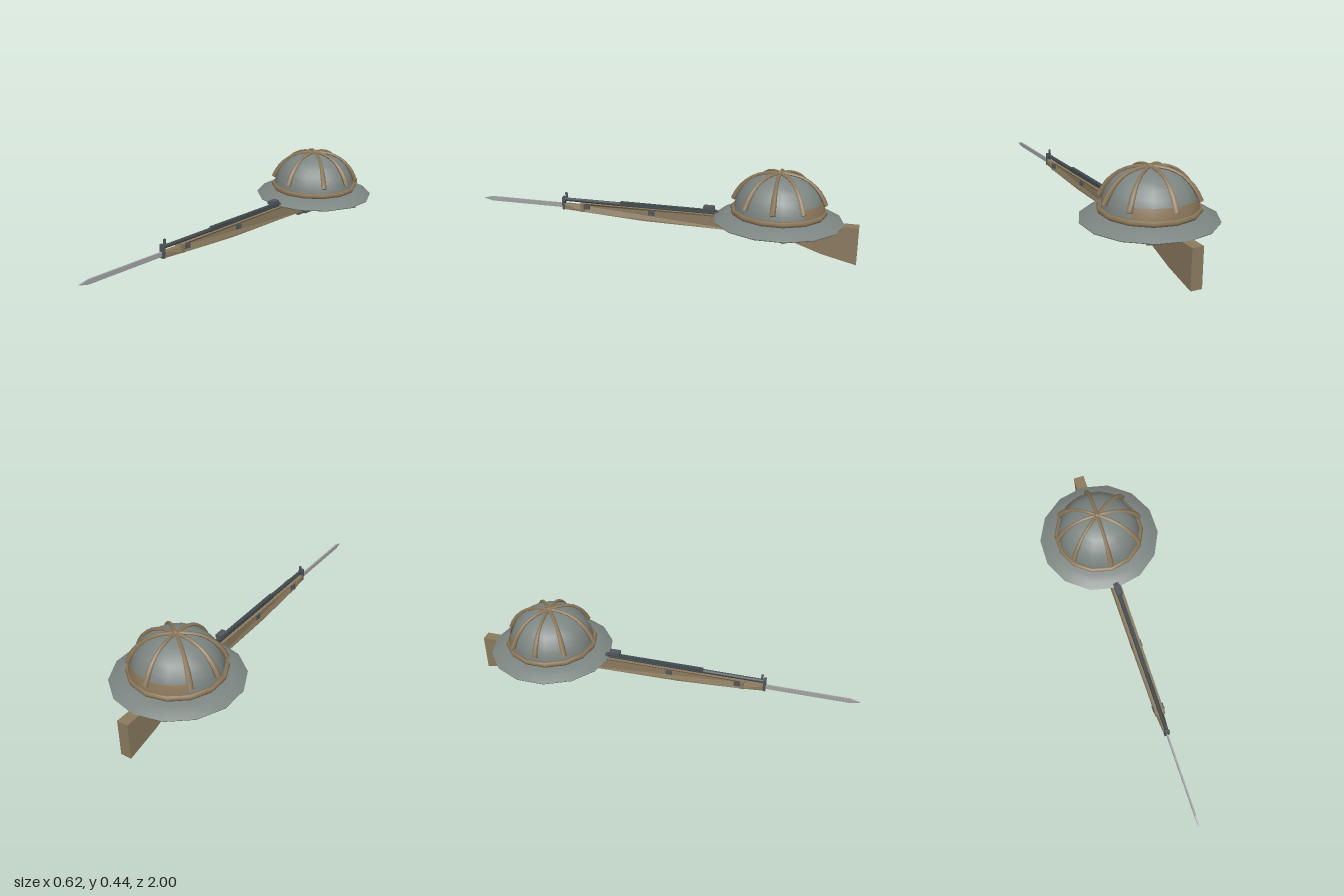
import * as THREE from 'three';

const material = (name, color, side = THREE.FrontSide) => {
  const m = new THREE.MeshStandardMaterial({ color, side });
  m.name = name;
  return m;
};

const SIDES = 14;
const DOME = [[0.222, 0.222], [0.218, 0.26], [0.209, 0.295], [0.193, 0.33], [0.168, 0.364], [0.132, 0.394], [0.085, 0.413], [0.04, 0.421], [0, 0.423]];

export function createModel() {
  const steel = material('helmet grey', 0x7c8581, THREE.DoubleSide);
  const leather = material('leather brown', 0x8a775a);
  const lining = material('lining brown', 0x8a775a, THREE.DoubleSide);
  const wood = material('stock wood', 0x8a7a5e);
  const metal = material('gun metal', 0x50565c);
  const barrelMetal = material('barrel steel', 0x414a4d);
  const bladeMetal = material('blade steel', 0xa2a3a4);

  const model = new THREE.Group();
  const helmet = new THREE.Group();
  helmet.name = 'helmet';
  helmet.position.z = -0.61;
  const rifle = new THREE.Group();
  rifle.name = 'rifle';
  model.add(helmet, rifle);

  const add = (parent, name, geometry, mat, x = 0, y = 0, z = 0) => {
    const mesh = new THREE.Mesh(geometry, mat);
    mesh.name = name;
    mesh.position.set(x, y, z);
    parent.add(mesh);
    return mesh;
  };
  const lathe = (points, ...arc) =>
    new THREE.LatheGeometry(points.map(([r, y]) => new THREE.Vector2(r, y)), SIDES, ...arc);
  const ring = (radius, tube) =>
    new THREE.TorusGeometry(radius, tube, 6, SIDES).rotateX(Math.PI / 2).rotateY(Math.PI / 2);

  // Helmet shell, brim and lining
  add(helmet, 'dome', lathe(DOME), steel);
  add(helmet, 'brimTop', lathe([[0.32, 0.19], [0.285, 0.209], [0.255, 0.219], [0.215, 0.227]]), steel);
  add(helmet, 'brimUnderside', lathe([[0.212, 0.212], [0.28, 0.196], [0.318, 0.186], [0.32, 0.19]]), steel);
  add(helmet, 'innerLining', lathe(DOME.map(([r, y]) => [r * 0.96, y - 0.01])), lining);
  add(helmet, 'backPanel', lathe([[0.225, 0.242], [0.222, 0.265], [0.213, 0.3], [0.211, 0.301]],
    Math.PI * 0.72, Math.PI * 0.56), lining);
  add(helmet, 'hatBand', ring(0.226, 0.013).scale(1, 1.1, 1), leather, 0, 0.239, 0);
  const sweatBand = add(helmet, 'sweatBand', ring(0.212, 0.013), leather, 0, 0.191, 0);
  sweatBand.rotation.z = 0.012;

  // Straps: capped rods bent down over the dome, thickest at the rim end
  const path = new THREE.CatmullRomCurve3(
    [[0, 0.425], [0.06, 0.423], [0.125, 0.402], [0.165, 0.372], [0.2, 0.33], [0.226, 0.279]]
      .map(([r, y]) => new THREE.Vector3(r, y, 0)));
  const strapGeometry = new THREE.CylinderGeometry(1, 1, 1, 6, 8);
  const pos = strapGeometry.attributes.position;
  for (let i = 0; i < pos.count; i++) {
    const t = THREE.MathUtils.clamp(0.5 - pos.getY(i), 0, 1);
    const p = path.getPointAt(t), d = path.getTangentAt(t);
    const size = 0.009 + 0.005 * THREE.MathUtils.smoothstep(t, 0.45, 0.85);
    const out = -pos.getX(i) * size, side = pos.getZ(i) * size;
    pos.setXYZ(i, p.x + d.y * out, p.y - d.x * out, side);
  }
  // Keep faces outward whichever way the bend turned the rod
  {
    const a = new THREE.Vector3(), b = new THREE.Vector3(), c = new THREE.Vector3();
    const index = strapGeometry.index;
    let volume = 0;
    for (let i = 0; i < index.count; i += 3) {
      a.fromBufferAttribute(pos, index.getX(i));
      b.fromBufferAttribute(pos, index.getX(i + 1));
      c.fromBufferAttribute(pos, index.getX(i + 2));
      volume += a.dot(b.cross(c));
    }
    if (volume < 0) index.array.reverse();
  }
  strapGeometry.computeVertexNormals();
  for (const degrees of [0, 38, 90, 142, 180, 218, 270, 322]) {
    add(helmet, 'strap', strapGeometry, leather).rotation.y = THREE.MathUtils.degToRad(degrees);
  }
  add(helmet, 'crownKnot', new THREE.SphereGeometry(0.016, 8, 6), leather, 0, 0.424, 0);

  // Side outline (z, y) extruded across x
  const slab = (outline, width) => {
    const shape = new THREE.Shape(outline.map(([z, y]) => new THREE.Vector2(z, y)));
    return new THREE.ExtrudeGeometry(shape, { depth: width, bevelEnabled: false })
      .translate(0, 0, -width / 2).rotateY(-Math.PI / 2);
  };
  const box = (name, mat, w, y0, y1, z0, z1, x = 0) =>
    add(rifle, name, new THREE.BoxGeometry(w, y1 - y0, z1 - z0), mat, x, (y0 + y1) / 2, (z0 + z1) / 2);

  // Wooden stock, narrowing towards the muzzle
  const stock = slab([[-1, 0], [-0.83, 0.04], [-0.69, 0.088], [-0.64, 0.07], [-0.595, 0.1], [-0.55, 0.112],
    [-0.3, 0.117], [0.08, 0.12], [0.4, 0.137], [0.53, 0.14], [0.53, 0.17], [0.43, 0.17], [0.42, 0.183],
    [-0.25, 0.187], [-0.6, 0.184], [-0.7, 0.188], [-1, 0.19]], 0.056);
  const sp = stock.attributes.position;
  for (let i = 0; i < sp.count; i++) {
    const t = THREE.MathUtils.clamp((sp.getZ(i) + 0.6) / 1.03, 0, 1);
    const front = sp.getZ(i) > 0.425 ? 0.5 : 1;
    sp.setX(i, sp.getX(i) * (1 - 0.2 * t) * front);
  }
  stock.computeVertexNormals();
  add(rifle, 'stock', stock, wood);

  // Barrel, receiver and sights
  add(rifle, 'barrel', new THREE.CylinderGeometry(0.01, 0.012, 0.85, 8).rotateX(Math.PI / 2),
    barrelMetal, 0, 0.192, 0.105);
  box('handguard', barrelMetal, 0.02, 0.18, 0.206, -0.3, 0.21);
  box('receiver', metal, 0.03, 0.175, 0.202, -0.6, -0.3);
  box('rearSight', metal, 0.034, 0.208, 0.226, -0.29, -0.235);
  box('rearSightBase', metal, 0.016, 0.2, 0.21, -0.28, -0.245);
  box('muzzleBlock', metal, 0.026, 0.138, 0.206, 0.52, 0.534);
  box('frontSight', metal, 0.008, 0.2, 0.23, 0.507, 0.518);

  // Stock bands
  for (const z of [0.39, 0.035]) {
    for (const side of [-1, 1]) box('bandFitting', metal, 0.008, 0.155, 0.178, z - 0.016, z + 0.016, side * 0.025);
  }
  box('frontBand', wood, 0.05, 0.138, 0.184, 0.405, 0.425);

  // Trigger guard
  box('triggerGuard', metal, 0.034, 0.095, 0.115, -0.6, -0.46);
  box('trigger', metal, 0.012, 0.082, 0.098, -0.6, -0.535);

  // Bayonet
  add(rifle, 'bayonet', slab([[0.53, 0.147], [0.95, 0.147], [1, 0.159], [0.95, 0.171], [0.53, 0.171]], 0.008), bladeMetal);
  return model;
}
